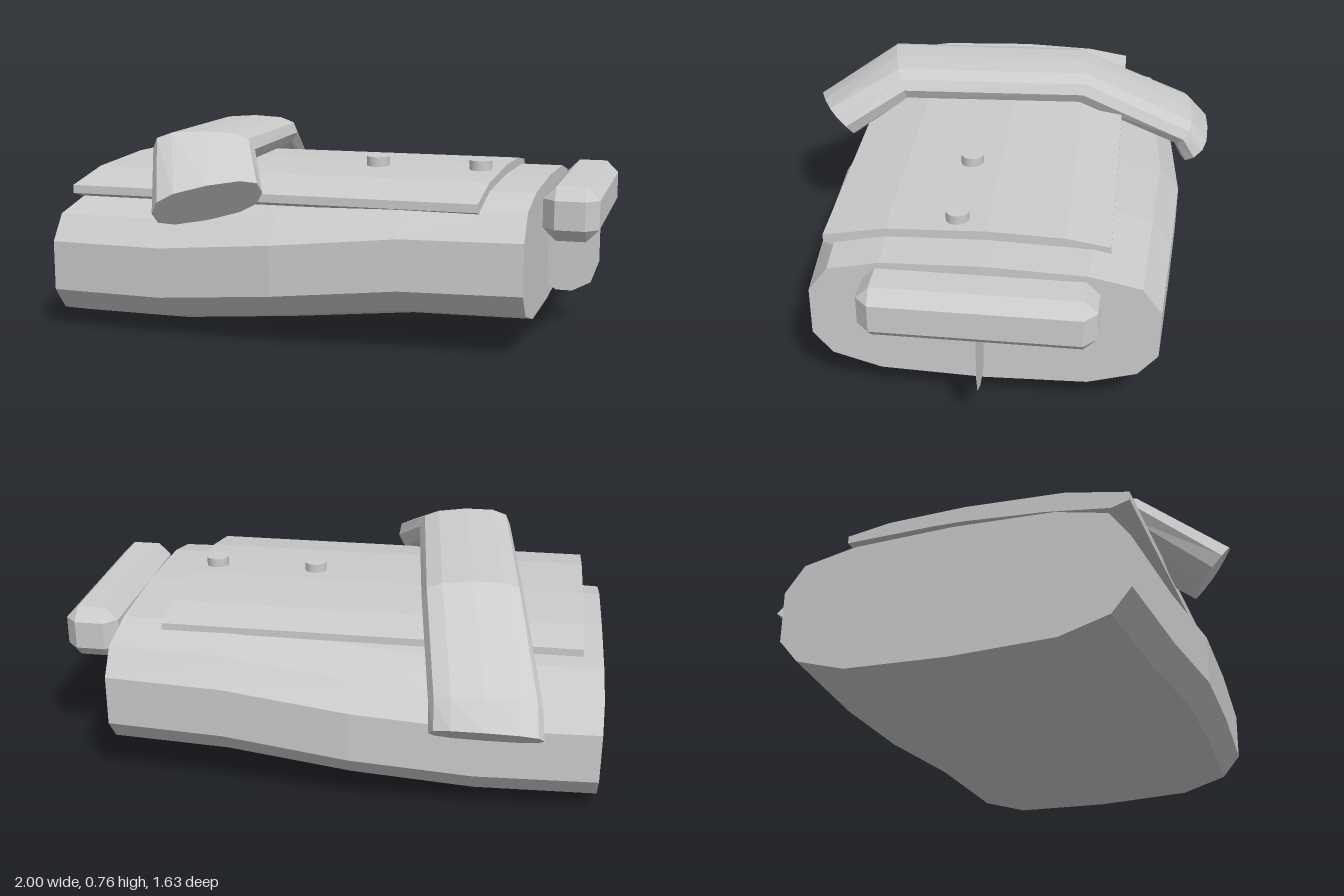
import * as THREE from 'three';
import { ConvexGeometry } from 'three/addons/geometries/ConvexGeometry.js';

const V = (x, y, z) => new THREE.Vector3(x, y, z);

// Flat-faced solid through a series of closed rings, capped at both ends
function loft(rings) {
  const pos = [];
  let volume = 0;
  const tri = (a, b, c) => {
    volume += a.dot(b.clone().cross(c));
    pos.push(...a.toArray(), ...b.toArray(), ...c.toArray());
  };
  const n = rings[0].length;
  for (let r = 0; r < rings.length - 1; r++) {
    for (let i = 0; i < n; i++) {
      const j = (i + 1) % n, p = rings[r], q = rings[r + 1];
      tri(p[i], p[j], q[j]);
      tri(p[i], q[j], q[i]);
    }
  }
  const cap = (ring, flip) => {
    const c = V(0, 0, 0);
    ring.forEach(p => c.addScaledVector(p, 1 / n));
    for (let i = 0; i < n; i++) {
      const a = ring[i], b = ring[(i + 1) % n];
      flip ? tri(c, b, a) : tri(c, a, b);
    }
  };
  cap(rings[0], true);
  cap(rings[rings.length - 1], false);
  // Turn every triangle outward when the rings run the other way
  if (volume < 0) {
    for (let i = 0; i < pos.length; i += 9) {
      for (let k = 3; k < 6; k++) [pos[i + k], pos[i + k + 3]] = [pos[i + k + 3], pos[i + k]];
    }
  }
  const geo = new THREE.BufferGeometry();
  geo.setAttribute('position', new THREE.Float32BufferAttribute(pos, 3));
  geo.computeVertexNormals();
  return geo;
}

export function createModel() {
  const group = new THREE.Group();
  const grey = new THREE.MeshStandardMaterial({ color: 0xcccccc });
  grey.name = 'plainGrey';
  grey.side = THREE.DoubleSide;
  const add = (name, geo, x = 0, y = 0, z = 0) => {
    const mesh = new THREE.Mesh(geo, grey);
    mesh.name = name;
    mesh.position.set(x, y, z);
    group.add(mesh);
  };

  // Pouch body: rounded section, wider in the middle and rising to the left
  const half = [[0.37, 0.012], [0.545, 0.065], [0.615, 0.15], [0.615, 0.335], [0.545, 0.43], [0.36, 0.47]];
  const section = [[0, 0], ...half, [0, 0.482], ...half.map(([z, y]) => [-z, y]).reverse()];
  const stations = [[-1, 0, 1], [-0.56, 0.004, 1.05], [-0.12, 0.045, 1.095], [0.34, 0.089, 1.05], [0.775, 0.091, 1]];
  add('pouchBody', loft(stations.map(([x, y0, s]) =>
    section.map(([z, y]) => V(x, y0 + y, z * s - 0.01)))));

  // Curved top flap
  const flap = [[0.585, 0.52], [0.585, 0.55], [0.36, 0.592], [0, 0.607], [-0.28, 0.598], [-0.44, 0.572],
    [-0.44, 0.545], [-0.28, 0.555], [0, 0.55], [0.36, 0.525], [0.52, 0.5]];
  add('topFlap', loft([-0.92, 0.61].map(x => flap.map(([z, y]) => V(x, y, z)))));

  // Two snap buttons
  for (const x of [0.13, 0.53]) {
    add('snapButton', new THREE.CylinderGeometry(0.043, 0.043, 0.045, 16), x, 0.615, 0.11);
  }

  // Bevelled bar at the left end
  const [hx, hy, hz, c] = [0.1, 0.098, 0.404, 0.046];
  const corners = [];
  for (const sx of [-1, 1]) for (const sy of [-1, 1]) for (const sz of [-1, 1]) {
    corners.push(V(sx * hx, sy * (hy - c), sz * (hz - c)),
      V(sx * (hx - c), sy * hy, sz * (hz - c)),
      V(sx * (hx - c), sy * (hy - c), sz * hz));
  }
  add('endBar', new ConvexGeometry(corners), 0.9, 0.49, -0.01);

  // Flat web joining the bar to the body
  const web = [[0.77, 0.15], [0.81, 0.128], [0.87, 0.128], [0.94, 0.165], [0.97, 0.25], [0.97, 0.48], [0.77, 0.48]];
  add('barWeb', new THREE.ShapeGeometry(new THREE.Shape(web.map(p => new THREE.Vector2(...p)))), 0, 0, -0.01);

  // Padded strap across the top: centre, half width and half thickness of each ring
  const strap = [
    [V(-0.32, 0.535, 0.735), V(0.18, 0.035, -0.07), V(0.02, 0.07, 0.05)],
    [V(-0.435, 0.69, 0.48), V(0.185, 0, -0.04), V(0, 0.068, 0.02)],
    [V(-0.515, 0.67, -0.25), V(0.185, 0, -0.03), V(0, 0.068, -0.02)],
    [V(-0.595, 0.45, -0.69), V(0.195, 0, -0.01), V(0, 0.05, -0.04)],
    [V(-0.603, 0.365, -0.75), V(0.197, 0, 0), V(0, 0.045, -0.057)],
  ];
  const soft = t => Math.sign(t) * Math.pow(Math.abs(t), 0.75);
  add('strap', loft(strap.map(([o, w, t]) => Array.from({ length: 12 }, (_, i) => {
    const a = (i / 12) * Math.PI * 2;
    return o.clone().addScaledVector(w, soft(Math.cos(a))).addScaledVector(t, soft(Math.sin(a)));
  }))));

  return group;
}
